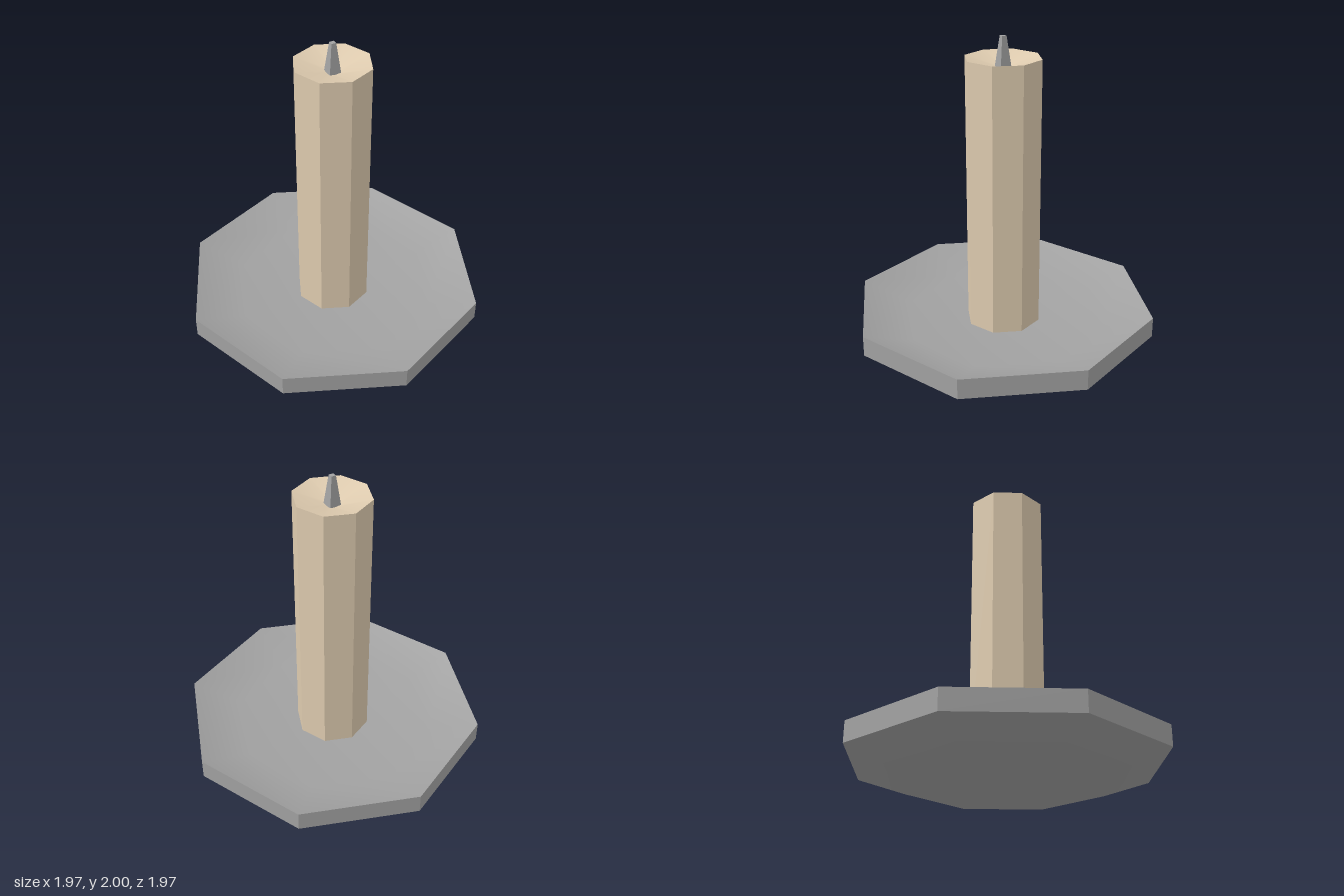
import * as THREE from 'three';

const SIDES = 8;

// Smooth eight-sided surface swept from [radius, height] points
function swept(points) {
  return new THREE.LatheGeometry(points.map(([r, y]) => new THREE.Vector2(r, y)), SIDES);
}

// Open, flat-sided prism standing between two heights
function walls(radius, y0, y1) {
  const geo = new THREE.CylinderGeometry(radius, radius, y1 - y0, SIDES, 1, true).toNonIndexed();
  geo.computeVertexNormals();
  return geo.translate(0, (y0 + y1) / 2, 0);
}

export function createModel() {
  const metal = new THREE.MeshStandardMaterial({ color: 0xa2a2a2 });
  metal.name = 'grey metal';
  const wax = new THREE.MeshStandardMaterial({ color: 0xdecbaf });
  wax.name = 'cream wax';

  const model = new THREE.Group();
  model.name = 'candleOnPlate';

  const add = (parent, name, geometry, material) => {
    const mesh = new THREE.Mesh(geometry, material);
    mesh.name = name;
    parent.add(mesh);
  };

  // Shallow dish: sloped underside, upright rim, sunken top
  const plate = new THREE.Group();
  plate.name = 'plate';
  add(plate, 'plateUnderside', swept([[0, 0], [0.655, 0], [0.985, 0.12]]), metal);
  add(plate, 'plateRim', walls(0.985, 0.12, 0.25), metal);
  add(plate, 'plateTop', swept([[0.985, 0.25], [0.655, 0.13], [0, 0.13]]), metal);

  // Candle with a hollow melted around the wick
  const candle = new THREE.Group();
  candle.name = 'candle';
  add(candle, 'candleBody', walls(0.241, 0.13, 1.87), wax);
  add(candle, 'candleHollow', swept([[0.241, 1.87], [0.037, 1.81], [0, 1.81]]), wax);

  // Square tapered wick, faces square to the axes
  const wick = new THREE.CylinderGeometry(0.015 * Math.SQRT2, 0.037 * Math.SQRT2, 0.19, 4).toNonIndexed();
  wick.computeVertexNormals();
  wick.rotateY(Math.PI / 4).translate(0, 1.905, 0);
  add(candle, 'wick', wick, metal);

  model.add(plate, candle);
  return model;
}
